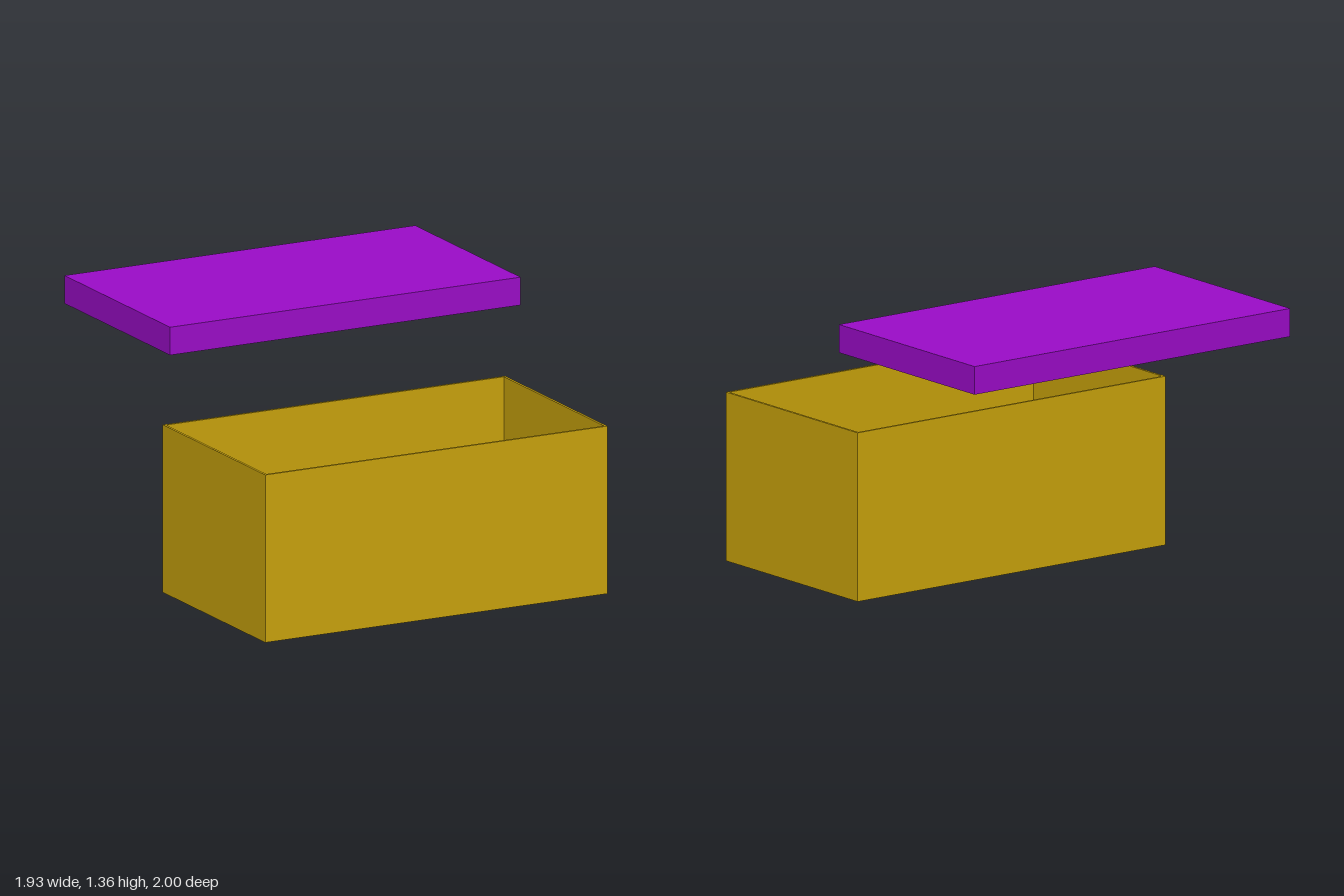
import * as THREE from 'three';

const WALL = 0.013;

// Four walls as one extruded rectangular ring, standing on y = 0.
function wallRing(width, height, depth) {
  const rect = (Type, w, d) => new Type([
    new THREE.Vector2(-w / 2, -d / 2), new THREE.Vector2(w / 2, -d / 2),
    new THREE.Vector2(w / 2, d / 2), new THREE.Vector2(-w / 2, d / 2),
  ]);
  const shape = rect(THREE.Shape, width, depth);
  shape.holes.push(rect(THREE.Path, width - 2 * WALL, depth - 2 * WALL));
  return new THREE.ExtrudeGeometry(shape, { depth: height, bevelEnabled: false }).rotateX(-Math.PI / 2);
}

// Open tray: a thin panel closing one end of the wall ring.
function tray(name, panelName, width, height, depth, color, panelOnTop) {
  const material = new THREE.MeshStandardMaterial({ color });
  const group = new THREE.Group();
  group.name = name;

  const walls = new THREE.Mesh(wallRing(width, height - WALL, depth), material);
  walls.name = name + 'Walls';
  walls.position.y = panelOnTop ? 0 : WALL;

  const panel = new THREE.Mesh(new THREE.BoxGeometry(width, WALL, depth), material);
  panel.name = panelName;
  panel.position.y = panelOnTop ? height - WALL / 2 : WALL / 2;

  group.add(walls, panel);
  return group;
}

export function createModel() {
  const model = new THREE.Group();
  model.name = 'boxWithLid';

  // Open-topped box at the front
  const box = tray('box', 'boxFloor', 1.88, 0.84, 1.044, 0xc9a30c, false);
  box.position.set(0, 0, 0.478);

  // Lid raised above and behind, open underneath
  const lid = tray('lid', 'lidTop', 1.926, 0.14, 1.074, 0x9b0cc8, true);
  lid.position.set(0, 1.22, -0.463);

  model.add(box, lid);
  return model;
}
